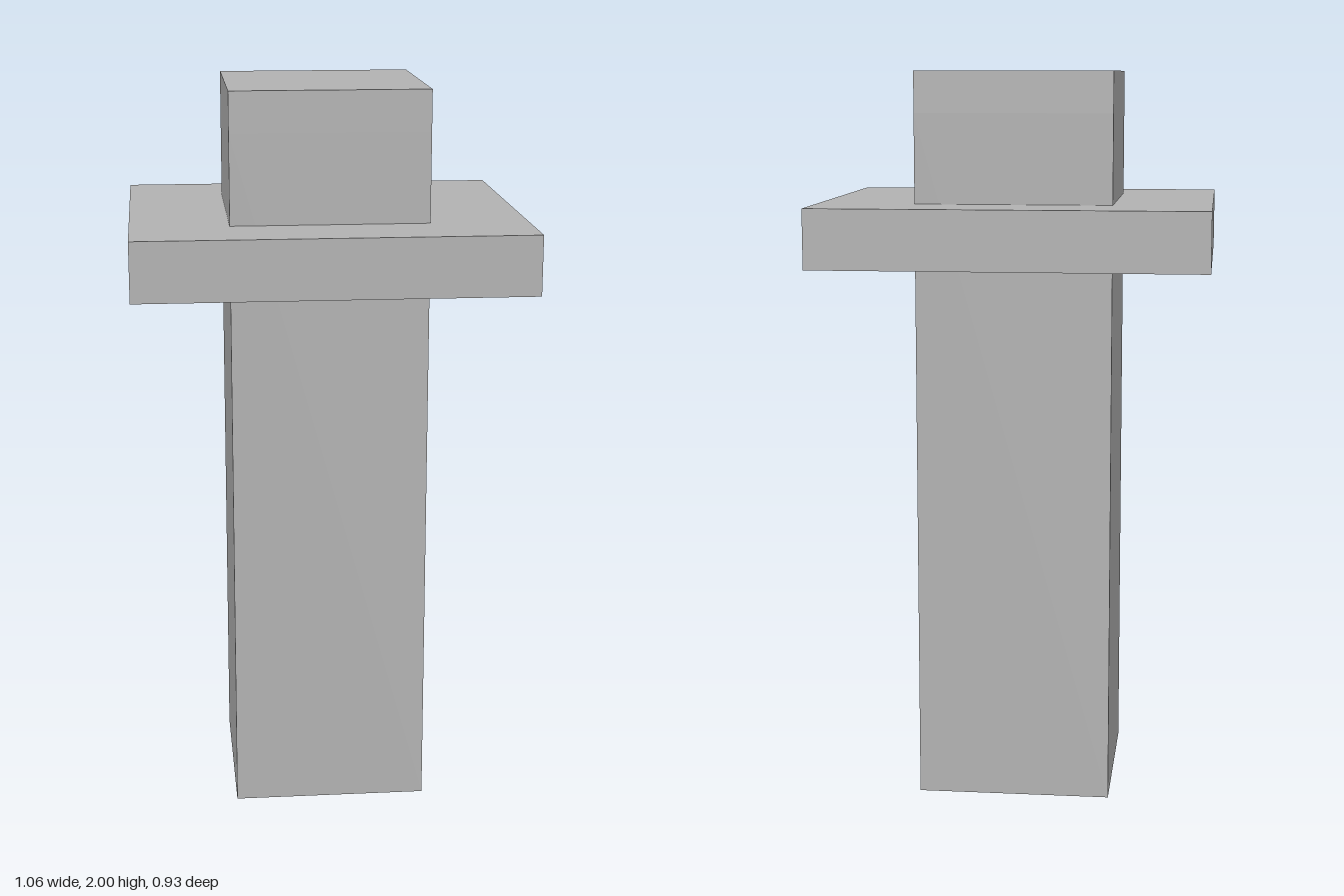
import * as THREE from 'three';

const HALF = 0.265;   // shaft half width
const BORE = 0.16;    // half width of the hollow
const BORE_TOP = 1.89;

// Rectangular frame lying flat, from y0 to y1, with a square opening
function frame(name, halfX, halfZ, opening, y0, y1, material) {
  const rect = (Type, x, z) => new Type([[-x, -z], [x, -z], [x, z], [-x, z]].map(p => new THREE.Vector2(...p)));
  const shape = rect(THREE.Shape, halfX, halfZ);
  shape.holes.push(rect(THREE.Path, opening, opening));
  const geometry = new THREE.ExtrudeGeometry(shape, { depth: y1 - y0, bevelEnabled: false });
  geometry.rotateX(-Math.PI / 2).translate(0, y0, 0);
  const mesh = new THREE.Mesh(geometry, material);
  mesh.name = name;
  return mesh;
}

export function createModel() {
  const grey = new THREE.MeshStandardMaterial({ color: 0xb2b2b2 });
  grey.name = 'grey';

  const model = new THREE.Group();
  model.name = 'collaredPost';

  // Hollow square shaft, open at the bottom
  model.add(frame('shaft', HALF, HALF, BORE, 0, BORE_TOP, grey));

  // Solid end closing the shaft
  const cap = new THREE.Mesh(new THREE.BoxGeometry(HALF * 2, 2 - BORE_TOP, HALF * 2), grey);
  cap.name = 'cap';
  cap.position.y = (2 + BORE_TOP) / 2;
  model.add(cap);

  // Wide rectangular collar around the shaft
  model.add(frame('collar', 0.528, 0.464, HALF, 1.49, 1.65, grey));

  return model;
}
